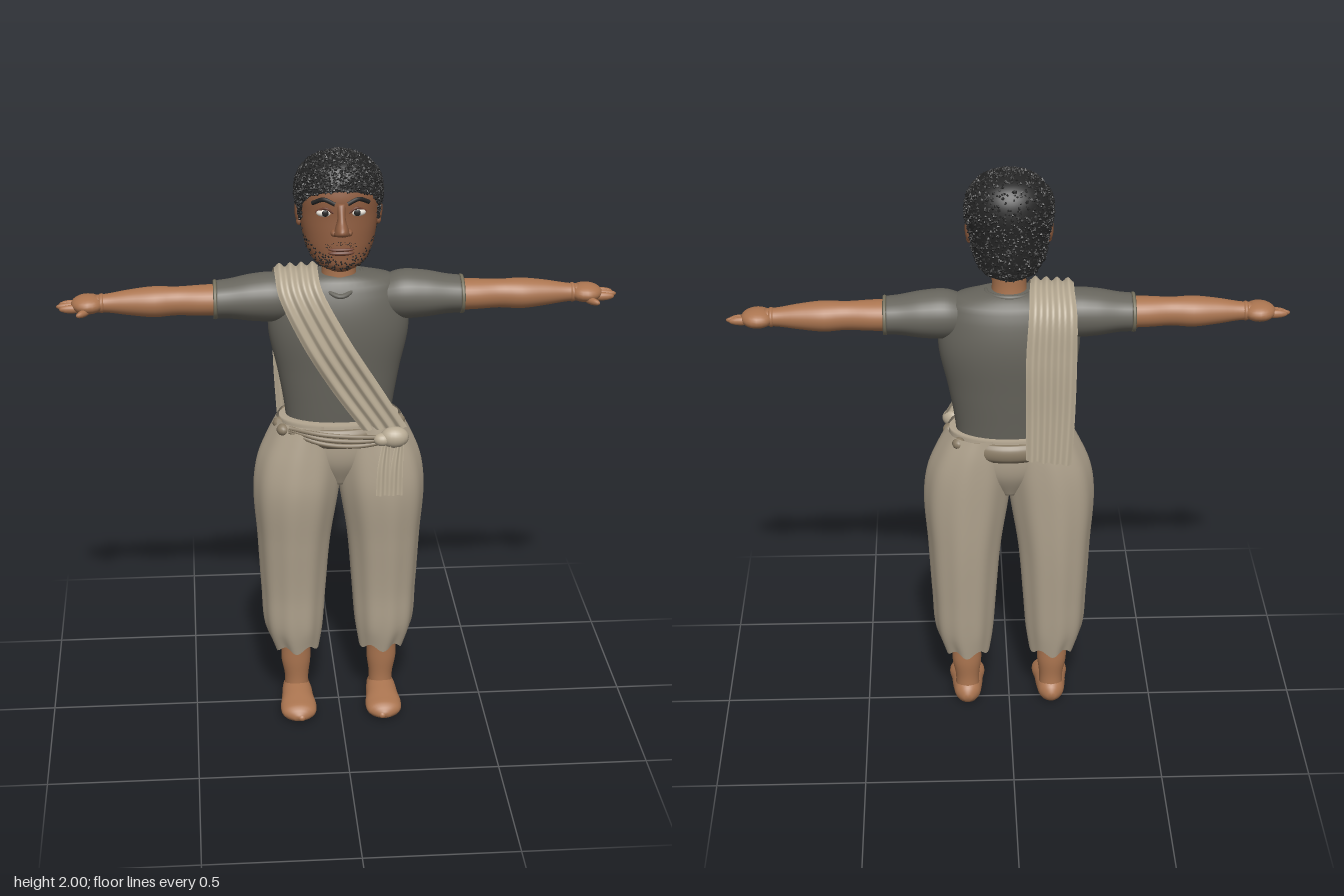
import * as THREE from 'three';
import { mergeGeometries } from 'three/addons/utils/BufferGeometryUtils.js';

const V = (x, y, z) => new THREE.Vector3(x, y, z);
const mat = (name, color, side = THREE.FrontSide) => {
  const m = new THREE.MeshStandardMaterial({ color, side });
  m.name = name;
  return m;
};

// Smooth (or linear) lookup through rows of [t, ...values]
function track(rows, Interp = THREE.CubicInterpolant) {
  const n = rows[0].length - 1;
  const it = new Interp(rows.map(r => r[0]), rows.flatMap(r => r.slice(1)), n, new Float32Array(n));
  return t => [...it.evaluate(t)];
}

// Surface grid; point(u, v) gives the position, wrap joins the last column to the first
function grid(rows, cols, wrap, point) {
  const pos = [], idx = [], w = wrap ? cols : cols + 1;
  for (let i = 0; i <= rows; i++)
    for (let j = 0; j < w; j++) pos.push(...point(i / rows, j / cols, i));
  for (let i = 0; i < rows; i++)
    for (let j = 0; j < cols; j++) {
      const a = i * w + j, b = i * w + (j + 1) % w;
      idx.push(a, a + w, b, b, a + w, b + w);
    }
  const g = new THREE.BufferGeometry();
  g.setAttribute('position', new THREE.Float32BufferAttribute(pos, 3));
  g.setIndex(idx);
  g.computeVertexNormals();
  return g;
}

// Closed tube of ellipses along y, rows of [y, centreX, centreZ, radiusX, radiusZ]
function loft(rows, { n = 32, steps = 24, cap = true, mod = () => [1, 0] } = {}) {
  const at = track(rows), t0 = rows[0][0], t1 = rows[rows.length - 1][0];
  const total = cap ? steps + 2 : steps;
  return grid(total, n, true, (u, v, i) => {
    const k = cap ? THREE.MathUtils.clamp((i - 1) / steps, 0, 1) : u;
    const t = t0 + (t1 - t0) * k, [cx, cz, rx, rz] = at(t), a = v * Math.PI * 2;
    let [s, dy] = mod(a, k);
    if (cap && (i === 0 || i === total)) s = 0;
    return [cx + rx * s * Math.cos(a), t + dy, cz + rz * s * Math.sin(a)];
  });
}

// Pleated cloth strip between two edge curves
function ribbon(a, b, pleats, depth, rows = 60) {
  const A = new THREE.CatmullRomCurve3(a), B = new THREE.CatmullRomCurve3(b);
  return grid(rows, 24, false, (u, v) => {
    const p = A.getPoint(u), q = B.getPoint(u);
    const normal = q.clone().sub(p).cross(A.getTangent(u)).normalize();
    return p.lerp(q, v).addScaledVector(normal, depth * Math.cos(v * Math.PI * 2 * pleats)).toArray();
  });
}

const ball = (x, y, z, sx, sy, sz, n = 20) =>
  new THREE.SphereGeometry(1, n, Math.ceil(n * 0.7)).scale(sx, sy, sz).translate(x, y, z);
const tube = (pts, r) => new THREE.TubeGeometry(new THREE.CatmullRomCurve3(pts), 16, r, 8);

function mirrored(geo) {
  const g = geo.clone().scale(-1, 1, 1), ix = g.index.array;
  for (let i = 0; i < ix.length; i += 3) [ix[i], ix[i + 1]] = [ix[i + 1], ix[i]];
  return g;
}

// Loft rows given along x: [x, y, z, radiusY, radiusZ]
function sideLoft(rows, opt) {
  const m = new THREE.Matrix4().set(0, 1, 0, 0, 1, 0, 0, 0, 0, 0, -1, 0, 0, 0, 0, 1);
  return loft(rows.map(([t, y, z, a, b]) => [t, y, -z, a, b]), opt).applyMatrix4(m);
}

export function createModel() {
  const model = new THREE.Group();
  model.name = 'standingMan';
  const D = THREE.DoubleSide;
  const skin = mat('skin', 0xab7550), face = mat('faceSkin', 0x8f5d40), hair = mat('hair', 0x242424, D);
  const shirt = mat('shirtGrey', 0x66645c), trim = mat('shirtTrim', 0x77725f);
  const cloth = mat('trouserCloth', 0xb0a38e, D), sash = mat('sashCloth', 0xb8ab94, D);
  const belt = mat('beltCloth', 0x8a7c66), white = mat('eyeWhite', 0xe4ded4), lip = mat('lips', 0x6f4232);
  const add = (name, geo, m) => {
    const mesh = new THREE.Mesh(geo, m);
    mesh.name = name;
    model.add(mesh);
  };
  const pair = (name, geo, m) => {
    add('left' + name, geo, m);
    add('right' + name, mirrored(geo), m);
  };
  let seed = 7;
  const rnd = () => (seed = (seed * 16807) % 2147483647) / 2147483647;

  // Feet and lower legs
  const foot = loft([[-0.065, 0.148, -0.04, 0.015, 0.015], [-0.045, 0.148, -0.044, 0.038, 0.038],
    [0, 0.148, -0.046, 0.05, 0.044], [0.06, 0.148, -0.042, 0.055, 0.04], [0.12, 0.148, -0.036, 0.062, 0.034],
    [0.16, 0.148, -0.032, 0.05, 0.027], [0.18, 0.148, -0.028, 0.018, 0.012]]).rotateX(Math.PI / 2);
  pair('Foot', foot, skin);
  pair('Toe', ball(0.14, 0.026, 0.168, 0.016, 0.014, 0.018), skin);
  pair('Shin', loft([[0.05, 0.148, -0.005, 0.042, 0.046], [0.1, 0.148, -0.004, 0.041, 0.043],
    [0.17, 0.15, -0.004, 0.051, 0.049], [0.23, 0.15, -0.002, 0.05, 0.05], [0.34, 0.15, 0, 0.056, 0.056]]), skin);

  // Loose trousers with folds and a scalloped hem
  pair('TrouserLeg', loft([[0.232, 0.148, -0.008, 0.08, 0.086], [0.3, 0.155, -0.006, 0.098, 0.1],
    [0.45, 0.155, -0.008, 0.11, 0.112], [0.65, 0.152, -0.003, 0.124, 0.132], [0.85, 0.142, 0.006, 0.145, 0.146],
    [0.95, 0.13, 0.003, 0.142, 0.142], [1.03, 0.115, 0, 0.124, 0.134], [1.09, 0.1, 0, 0.108, 0.125]], {
    n: 64, steps: 36, cap: false,
    mod: (a, k) => [1 + 0.022 * Math.cos(9 * a) * (1 - 0.5 * k), 0.012 * Math.cos(6 * a) * Math.max(0, 1 - k * 10)],
  }), cloth);
  add('hips', loft([[0.86, 0, 0, 0.05, 0.07], [0.95, 0, 0, 0.17, 0.115], [1.04, 0, 0, 0.2, 0.125],
    [1.095, 0, 0, 0.2, 0.12]], { n: 48 }), cloth);

  // Belt wrap, its folds and the tied knot
  add('belt', loft([[1.015, 0, 0, 0.17, 0.13], [1.03, 0, 0, 0.185, 0.141], [1.065, 0, 0, 0.185, 0.141],
    [1.08, 0, 0, 0.175, 0.13]], { n: 48 }), belt);
  for (let i = 0; i < 3; i++)
    add('beltFold', tube([V(-0.17, 1.082 - i * 0.006, 0.1), V(-0.07, 1.074 - i * 0.016, 0.143),
      V(0.05, 1.062 - i * 0.016, 0.146), V(0.16, 1.052 - i * 0.006, 0.13)], 0.008), belt);
  for (const [x, z] of [[0.2, 0.02], [0.17, -0.085], [-0.17, -0.085], [-0.2, 0.02], [-0.19, 0.08]])
    add('waistTuck', ball(x, 1.07, z, 0.022, 0.02, 0.024, 12), belt);
  add('knot', ball(0.175, 1.055, 0.136, 0.048, 0.036, 0.034), sash);
  add('knotFold', ball(0.135, 1.05, 0.142, 0.03, 0.022, 0.024), sash);
  for (const x of [0.112, 0.155])
    add('knotTail', ribbon([V(x + 0.025, 1.05, 0.15), V(x + 0.006, 0.96, 0.166), V(x, 0.86, 0.174)],
      [V(x + 0.05, 1.05, 0.15), V(x + 0.046, 0.96, 0.164), V(x + 0.044, 0.86, 0.172)], 1.5, 0.004, 16), sash);

  // Shirt body, collar and sleeves
  add('shirt', loft([[1.06, 0, -0.008, 0.175, 0.1], [1.12, 0, -0.008, 0.18, 0.106], [1.25, 0, -0.01, 0.202, 0.118],
    [1.4, 0, -0.012, 0.232, 0.128], [1.48, 0, -0.012, 0.226, 0.12], [1.54, 0, -0.012, 0.207, 0.103],
    [1.575, 0, -0.01, 0.17, 0.084], [1.59, 0, -0.005, 0.09, 0.062]], { n: 48, steps: 32 }), shirt);
  const collar = [];
  for (let i = 0; i < 16; i++) {
    const a = i / 16 * Math.PI * 2, f = Math.max(0, Math.sin(a));
    collar.push(V(0.076 * Math.cos(a), 1.585 - 0.05 * f * f, -0.004 + (0.066 + 0.036 * f * f) * Math.sin(a)));
  }
  add('collar', new THREE.TubeGeometry(new THREE.CatmullRomCurve3(collar, true), 48, 0.008, 8, true), shirt);
  pair('Sleeve', sideLoft([[0.13, 1.5, -0.005, 0.06, 0.065], [0.2, 1.506, -0.006, 0.08, 0.084],
    [0.28, 1.506, -0.006, 0.077, 0.084], [0.36, 1.504, -0.004, 0.064, 0.075], [0.405, 1.502, -0.003, 0.061, 0.072]],
    { mod: (a, k) => [1 + 0.012 * Math.cos(7 * a) * k, 0] }), shirt);
  pair('SleeveHem', sideLoft([[0.398, 1.502, -0.003, 0.062, 0.073], [0.403, 1.502, -0.003, 0.064, 0.075],
    [0.41, 1.502, -0.003, 0.062, 0.073]], { steps: 4 }), trim);

  // Arms and hands
  pair('Arm', sideLoft([[0.36, 1.502, 0, 0.052, 0.06], [0.45, 1.501, 0, 0.05, 0.055], [0.53, 1.501, 0, 0.047, 0.046],
    [0.6, 1.5, 0, 0.05, 0.054], [0.68, 1.5, 0, 0.042, 0.044], [0.76, 1.499, 0, 0.03, 0.032],
    [0.8, 1.498, 0, 0.028, 0.032]]), skin);
  pair('Wrist', ball(0.772, 1.499, 0, 0.016, 0.032, 0.036), skin);
  pair('Palm', ball(0.816, 1.498, 0, 0.055, 0.031, 0.056), skin);
  for (const [i, z] of [-0.016, 0, 0.018].entries())
    pair('Finger', ball(0.868, 1.493 - i * 0.003, z, i === 1 ? 0.052 : 0.042, 0.014, 0.012, 12), skin);
  pair('Thumb', ball(0, 0, 0, 0.034, 0.012, 0.012, 12).rotateY(-0.9).translate(0.83, 1.482, 0.05), skin);

  // Pleated shoulder sash, hanging behind and crossing the chest
  add('sash', ribbon(
    [V(-0.2, 1.03, -0.18), V(-0.21, 1.2, -0.165), V(-0.215, 1.4, -0.152), V(-0.215, 1.54, -0.125), V(-0.21, 1.6, -0.045),
      V(-0.21, 1.6, 0.04), V(-0.2, 1.54, 0.105), V(-0.125, 1.38, 0.14), V(-0.03, 1.22, 0.135), V(0.07, 1.08, 0.135)],
    [V(-0.05, 1.05, -0.18), V(-0.05, 1.2, -0.168), V(-0.05, 1.4, -0.158), V(-0.06, 1.55, -0.125), V(-0.065, 1.605, -0.045),
      V(-0.07, 1.608, 0.04), V(-0.06, 1.56, 0.108), V(0.025, 1.4, 0.138), V(0.125, 1.235, 0.128), V(0.22, 1.08, 0.115)],
    4, 0.007), sash);

  // Neck and head
  add('neck', loft([[1.52, 0, -0.002, 0.066, 0.062], [1.6, 0, 0.004, 0.056, 0.056], [1.68, 0, 0.004, 0.06, 0.06]]), skin);
  const headRows = [[1.618, 0, 0.055, 0.035, 0.04], [1.635, 0, 0.042, 0.07, 0.075], [1.68, 0, 0.02, 0.104, 0.105],
    [1.74, 0, 0.008, 0.12, 0.117], [1.8, 0, 0, 0.128, 0.122], [1.88, 0, 0, 0.13, 0.12], [1.95, 0, -0.005, 0.1, 0.095],
    [1.98, 0, -0.005, 0.04, 0.04]];
  add('head', loft(headRows, { n: 40, steps: 32 }), face);
  add('nose', loft([[1.745, 0, 0.115, 0.014, 0.015], [1.754, 0, 0.132, 0.026, 0.032], [1.769, 0, 0.137, 0.023, 0.043],
    [1.8, 0, 0.128, 0.014, 0.025], [1.85, 0, 0.115, 0.013, 0.01]], { n: 16 }), face);
  pair('Nostril', ball(0.022, 1.759, 0.128, 0.014, 0.012, 0.018, 12), face);
  pair('Ear', ball(0.13, 1.8, -0.004, 0.012, 0.042, 0.026), face);
  pair('EarLobe', ball(0.128, 1.765, 0.002, 0.01, 0.016, 0.014, 12), face);
  pair('Eye', ball(0.052, 1.82, 0.107, 0.027, 0.013, 0.014), white);
  pair('Iris', ball(0.051, 1.821, 0.119, 0.011, 0.011, 0.004, 12), hair);
  pair('EyeLid', tube([V(0.025, 1.821, 0.117), V(0.05, 1.836, 0.116), V(0.08, 1.822, 0.1)], 0.004), lip);
  pair('Brow', tube([V(0.02, 1.85, 0.121), V(0.055, 1.864, 0.112), V(0.09, 1.848, 0.09)], 0.007), hair);
  for (const [y, h] of [[1.701, 0.007], [1.689, 0.009]])
    add('lip', ball(0, y, 0.118, 0.042, h, 0.014), lip);

  // Short beard stubble scattered over the jaw
  const headAt = track(headRows), dots = [];
  for (let i = 0; i < 190; i++) {
    const side = rnd() * 2 - 1, a = Math.PI / 2 + side * 1.5;
    const y = 1.63 + (0.045 + 0.09 * side * side) * rnd();
    const [cx, cz, rx, rz] = headAt(y);
    dots.push(new THREE.OctahedronGeometry(0.0035).translate(cx + rx * Math.cos(a), y, cz + rz * Math.sin(a)));
  }
  for (let i = 0; i < 40; i++) {
    const x = (rnd() * 2 - 1) * 0.05;
    dots.push(new THREE.OctahedronGeometry(0.003).translate(x, 1.715 + 0.014 * rnd() - Math.abs(x) * 0.2,
      0.012 + 0.112 * Math.sqrt(1 - (x / 0.115) ** 2)));
  }
  add('stubble', mergeGeometries(dots), hair);

  // Hair cap with a hairline that varies around the head, covered in small curls
  const hairAt = track([[1.64, -0.02, 0.1, 0.088], [1.7, -0.01, 0.118, 0.115], [1.8, -0.004, 0.134, 0.127],
    [1.88, -0.003, 0.141, 0.13], [1.94, -0.003, 0.119, 0.111], [1.975, -0.003, 0.075, 0.072], [1.997, -0.003, 0.004, 0.004]]);
  const hairline = track([[0, 1.893], [25, 1.885], [45, 1.87], [60, 1.835], [70, 1.775], [80, 1.775], [88, 1.835],
    [102, 1.82], [110, 1.72], [135, 1.675], [181, 1.66]], THREE.LinearInterpolant);
  const hairPoint = (u, v) => {
    const a = v * Math.PI * 2;
    const fromFront = Math.acos(THREE.MathUtils.clamp(Math.sin(a), -1, 1)) * 180 / Math.PI;
    const y = THREE.MathUtils.lerp(hairline(fromFront)[0], 1.997, Math.sin(u * Math.PI / 2));
    const [cz, rx, rz] = hairAt(y);
    return [rx * Math.cos(a), y, cz + rz * Math.sin(a)];
  };
  add('hairCap', grid(28, 72, true, hairPoint), hair);
  const curls = [];
  for (let i = 0; i < 2600; i++)
    curls.push(new THREE.OctahedronGeometry(0.004 + 0.003 * rnd()).rotateX(rnd() * 3).rotateY(rnd() * 3)
      .translate(...hairPoint(1 - Math.sqrt(rnd()), rnd())));
  add('hairCurls', mergeGeometries(curls), hair);
  return model;
}
